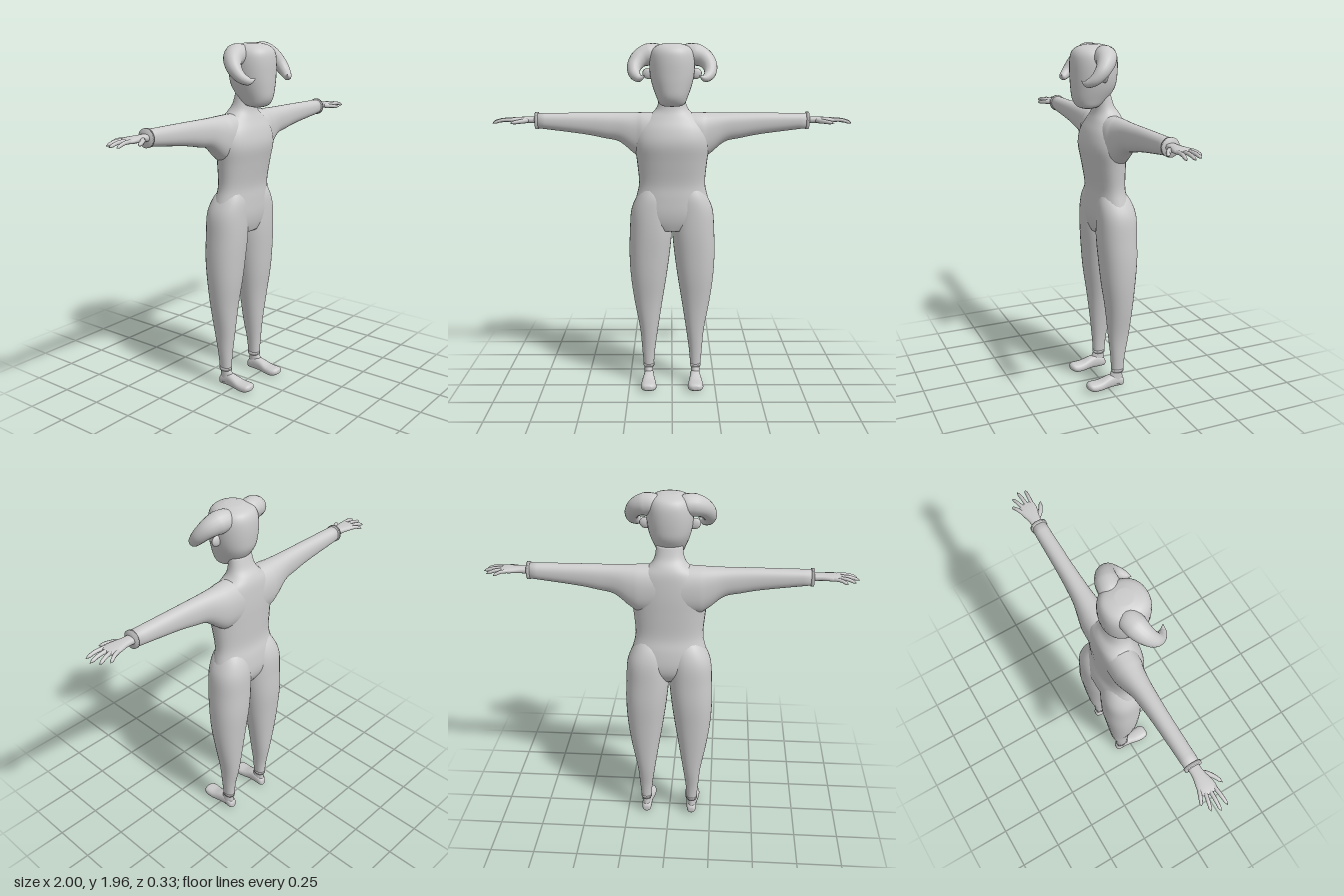
import * as THREE from 'three';
import { mergeVertices } from 'three/addons/utils/BufferGeometryUtils.js';

const material = new THREE.MeshStandardMaterial({ color: 0xcccccc });

// Catmull-Rom blend of the cross-section rows
function refine(rows, steps) {
  const out = [];
  const at = (i) => rows[Math.max(0, Math.min(rows.length - 1, i))];
  for (let i = 0; i < rows.length - 1; i++) {
    for (let s = 0; s < steps; s++) {
      const f = s / steps;
      out.push(rows[i].map((b, k) => {
        const a = at(i - 1)[k], c = at(i + 1)[k], d = at(i + 2)[k];
        return 0.5 * (2 * b + (c - a) * f + (2 * a - 5 * b + 4 * c - d) * f * f + (3 * b - a - 3 * c + d) * f ** 3);
      }));
    }
  }
  out.push(rows[rows.length - 1]);
  return out;
}

// Closed skin over rounded sections [t, uMin, uMax, vMin, vMax] along an axis;
// u and v are the next two axes in x-y-z order, and t increases.
function loft(axis, rows, { steps = 4, sides = 32, power = 2 } = {}) {
  const sections = refine(rows, steps), pos = [], index = [];
  const U = (axis + 1) % 3, V = (axis + 2) % 3;
  const add = (t, u, v) => {
    const p = [0, 0, 0];
    p[axis] = t; p[U] = u; p[V] = v;
    pos.push(...p);
  };
  const round = (x) => Math.sign(x) * Math.abs(x) ** (2 / power);
  for (const [t, u0, u1, v0, v1] of sections) {
    for (let i = 0; i < sides; i++) {
      const a = (i / sides) * Math.PI * 2;
      add(t, (u0 + u1) / 2 + round(Math.sin(a)) * (u1 - u0) / 2, (v0 + v1) / 2 + round(Math.cos(a)) * (v1 - v0) / 2);
    }
  }
  const last = (sections.length - 1) * sides, centre = sections.length * sides;
  for (const [t, u0, u1, v0, v1] of [sections[0], sections[sections.length - 1]]) add(t, (u0 + u1) / 2, (v0 + v1) / 2);
  for (let i = 0; i < sides; i++) {
    const n = (i + 1) % sides;
    for (let r = 0; r < last; r += sides) index.push(r + i, r + sides + i, r + n, r + n, r + sides + i, r + sides + n);
    index.push(centre, i, n, centre + 1, last + n, last + i);
  }
  const g = new THREE.BufferGeometry();
  g.setAttribute('position', new THREE.Float32BufferAttribute(pos, 3));
  g.setIndex(index);
  g.computeVertexNormals();
  return g;
}

// Tube through points whose radius follows a list, ending in a point
function taper(points, radii, segs = 24, sides = 12) {
  const curve = new THREE.CatmullRomCurve3(points.map((p) => new THREE.Vector3(...p)));
  let g = new THREE.TubeGeometry(curve, segs, 1, sides);
  const pos = g.attributes.position, v = new THREE.Vector3();
  for (let i = 0; i < pos.count; i++) {
    const f = Math.floor(i / (sides + 1)) / segs, c = curve.getPointAt(f);
    const k = f * (radii.length - 1), j = Math.min(Math.floor(k), radii.length - 2);
    const r = THREE.MathUtils.lerp(radii[j], radii[j + 1], k - j);
    v.fromBufferAttribute(pos, i).sub(c).multiplyScalar(r).add(c);
    pos.setXYZ(i, v.x, v.y, v.z);
  }
  g.deleteAttribute('uv');
  g.deleteAttribute('normal');
  g = mergeVertices(g, 1e-5);
  g.computeVertexNormals();
  return g;
}

// Mirrored copy in x with the face order put right
function mirrored(g) {
  const m = g.clone();
  m.scale(-1, 1, 1);
  const ix = m.index.array;
  for (let i = 0; i < ix.length; i += 3) [ix[i], ix[i + 1]] = [ix[i + 1], ix[i]];
  m.computeVertexNormals();
  return m;
}

export function createModel() {
  const model = new THREE.Group();
  model.name = 'hornedFigure';
  const add = (name, g) => {
    const mesh = new THREE.Mesh(g, material);
    mesh.name = name;
    model.add(mesh);
  };
  const pair = (name, g) => {
    add(name + 'Left', g);
    add(name + 'Right', mirrored(g));
  };
  // Rows given as [y, back, front, halfWidth]
  const upright = (rows) => rows.map(([y, b, f, w]) => [y, b, f, -w, w]);

  // Torso and neck
  add('torso', loft(1, upright([
    [0.93, -0.11, 0.035, 0.1], [0.98, -0.14, 0.05, 0.21], [1.04, -0.15, 0.058, 0.223],
    [1.12, -0.142, 0.057, 0.202], [1.2, -0.125, 0.055, 0.186], [1.32, -0.127, 0.075, 0.196],
    [1.42, -0.13, 0.092, 0.208], [1.5, -0.128, 0.078, 0.195], [1.56, -0.122, 0.052, 0.15],
    [1.6, -0.107, 0.036, 0.1], [1.64, -0.08, 0.03, 0.078], [1.7, -0.06, 0.03, 0.07],
  ]), { power: 2.2 }));

  // Shoulders and sleeves in one skin from wrist to wrist
  const sleeve = [
    [0.13, 1.33, 1.594, -0.124, 0.045], [0.2, 1.355, 1.592, -0.116, 0.03], [0.29, 1.428, 1.59, -0.098, 0.014],
    [0.38, 1.45, 1.59, -0.09, 0.008], [0.5, 1.473, 1.59, -0.085, 0.003], [0.75, 1.505, 1.588, -0.08, 0],
  ];
  const flip = sleeve.map(([x, ...rest]) => [-x, ...rest]).reverse();
  add('sleeves', loft(0, [...flip, ...sleeve], { power: 2.3 }));
  pair('sleeveCuff', loft(0, [[0.743, 1.499, 1.595, -0.086, 0.006], [0.759, 1.499, 1.595, -0.086, 0.006]], { steps: 1 }));

  // Trouser legs with the seat
  pair('leg', loft(1, [
    [0.1, -0.094, -0.024, 0.108, 0.166], [0.2, -0.102, -0.018, 0.1, 0.175], [0.33, -0.125, -0.005, 0.082, 0.187],
    [0.5, -0.142, 0.012, 0.056, 0.218], [0.65, -0.155, 0.033, 0.032, 0.238], [0.79, -0.166, 0.046, 0.013, 0.245],
    [0.92, -0.166, 0.055, 0.001, 0.241], [1.04, -0.163, 0.056, 0.004, 0.232], [1.12, -0.14, 0.05, 0.02, 0.2],
    [1.18, -0.1, 0.03, 0.05, 0.16],
  ], { power: 2.2 }));
  pair('trouserCuff', loft(1, [[0.105, -0.097, -0.021, 0.105, 0.169], [0.12, -0.097, -0.021, 0.105, 0.169]], { steps: 1 }));

  // Ankles and feet
  pair('ankle', loft(1, [[0.03, -0.094, -0.012, 0.108, 0.164], [0.075, -0.09, -0.012, 0.112, 0.163], [0.115, -0.088, -0.028, 0.112, 0.162]]));
  pair('foot', loft(2, [
    [-0.098, 0.122, 0.15, 0.015, 0.045], [-0.085, 0.11, 0.162, 0.008, 0.065], [-0.04, 0.106, 0.165, 0.007, 0.085],
    [0.0, 0.103, 0.17, 0.007, 0.078], [0.05, 0.094, 0.178, 0.003, 0.06], [0.09, 0.09, 0.18, 0.003, 0.056],
    [0.115, 0.098, 0.174, 0.012, 0.054], [0.128, 0.118, 0.155, 0.022, 0.044],
  ], { sides: 20, power: 2.4 }));

  // Hands
  pair('palm', loft(0, [
    [0.74, 1.53, 1.568, -0.07, -0.012], [0.8, 1.534, 1.568, -0.072, -0.008],
    [0.86, 1.536, 1.566, -0.086, 0.006], [0.895, 1.539, 1.562, -0.078, 0.004], [0.905, 1.544, 1.558, -0.06, -0.01],
  ], { sides: 20, power: 2.5 }));
  const fingers = [
    // [knuckle x, z, tip x, z]
    [0.86, -0.075, 0.932, -0.106], [0.88, -0.057, 0.976, -0.08], [0.885, -0.034, 0.999, -0.038], [0.88, -0.008, 0.99, 0.004],
  ];
  fingers.forEach(([x, z, tx, tz], i) => {
    pair('finger' + (i + 1), taper(
      [[x, 1.552, z], [(x + tx) / 2, 1.551, (z + tz) / 2], [tx, 1.535, tz]], [0.011, 0.011, 0.01, 0.01, 0.009, 0.009, 0.0], 14, 8));
  });
  pair('thumb', taper([[0.8, 1.548, -0.015], [0.84, 1.544, 0.018], [0.888, 1.537, 0.042]], [0.012, 0.014, 0.012, 0.011, 0.01, 0], 12, 8));

  // Head
  add('head', loft(1, upright([
    [1.63, 0.035, 0.1, 0.04], [1.643, 0.0, 0.126, 0.068], [1.68, -0.045, 0.148, 0.085], [1.74, -0.085, 0.155, 0.107],
    [1.8, -0.096, 0.157, 0.12], [1.87, -0.098, 0.157, 0.123], [1.92, -0.09, 0.149, 0.114],
    [1.95, -0.066, 0.122, 0.088], [1.966, -0.01, 0.07, 0.04],
  ]), { power: 2.2 }));

  // Ears
  const ear = new THREE.SphereGeometry(1, 16, 10);
  ear.scale(0.034, 0.03, 0.014);
  ear.rotateZ(0.2);
  ear.translate(0.128, 1.805, 0.02);
  pair('ear', ear);

  // Curled horns
  pair('horn', taper([
    [0.045, 1.9, 0.0], [0.11, 1.908, 0.01], [0.17, 1.888, 0.03], [0.203, 1.845, 0.065],
    [0.2, 1.802, 0.105], [0.172, 1.782, 0.14], [0.142, 1.795, 0.158],
  ], [0.048, 0.058, 0.06, 0.052, 0.044, 0.037, 0.03, 0.022, 0.0], 40, 18));

  return model;
}
